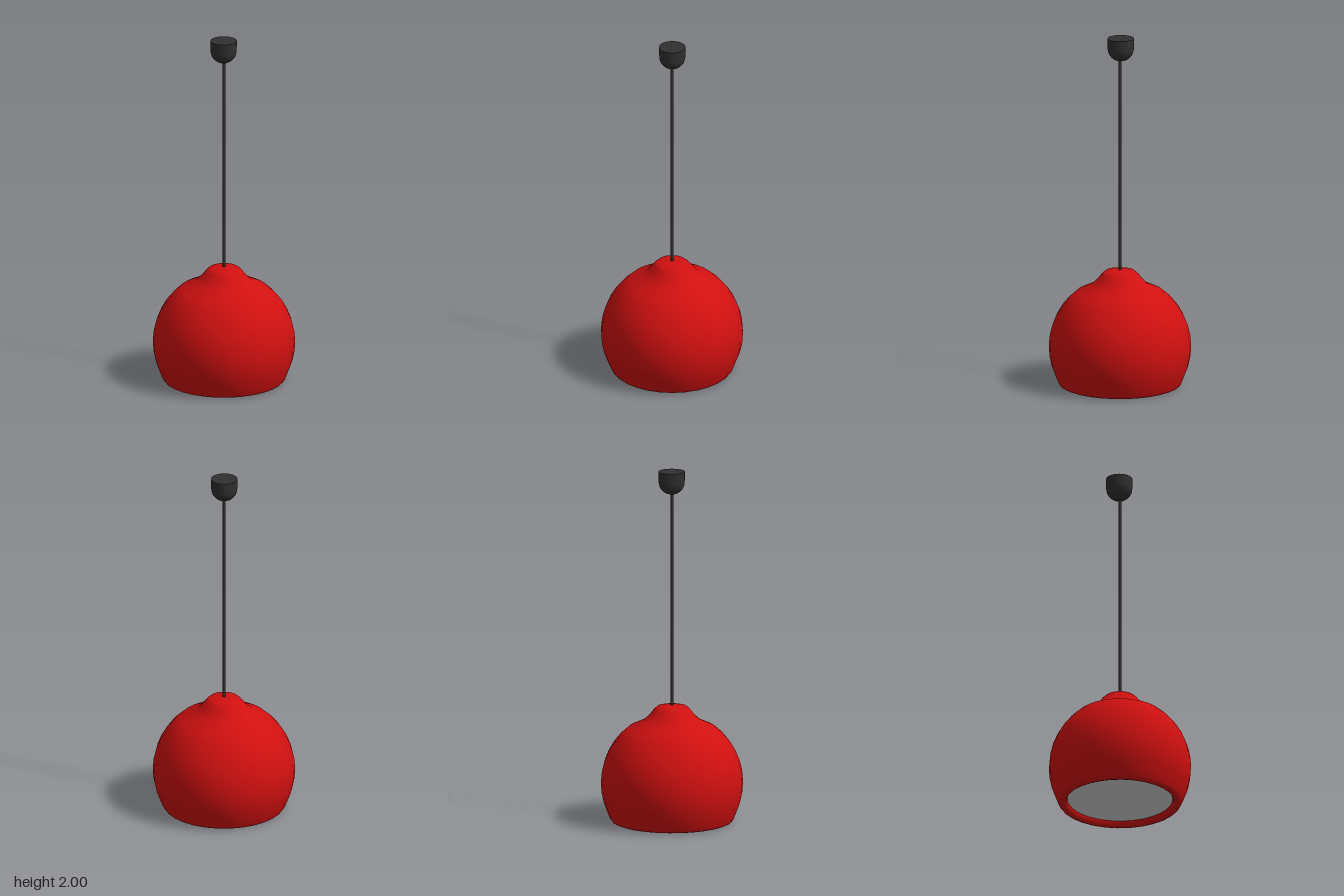
import * as THREE from 'three';

const SEGMENTS = 30;

export function createModel() {
  const red = new THREE.MeshStandardMaterial({ color: 0xd01010 });
  red.name = 'red enamel';
  const black = new THREE.MeshStandardMaterial({ color: 0x303030 });
  black.name = 'black plastic';
  const white = new THREE.MeshStandardMaterial({ color: 0xd8d8d8 });
  white.name = 'diffuser white';

  const model = new THREE.Group();
  model.name = 'pendantLamp';

  const add = (name, geometry, material, parent = model) => {
    const mesh = new THREE.Mesh(geometry, material);
    mesh.name = name;
    parent.add(mesh);
    return mesh;
  };
  const lathe = (points) =>
    new THREE.LatheGeometry(points.map(([r, y]) => new THREE.Vector2(r, y)), SEGMENTS);

  // Shade: inner lip, rounded rim, spherical body, then the flared neck
  const profile = [[0.295, 0.05], [0.297, 0.02], [0.308, 0.004], [0.325, 0.0], [0.338, 0.005], [0.347, 0.018]];
  const centerY = 0.22, radius = 0.398;
  for (let deg = -25; deg <= 61; deg += 8.6) {
    const a = THREE.MathUtils.degToRad(deg);
    profile.push([radius * Math.cos(a), centerY + radius * Math.sin(a)]);
  }
  profile.push([0.16, 0.574], [0.125, 0.608], [0.1, 0.64], [0.083, 0.655], [0.045, 0.661], [0, 0.664]);
  add('shade', lathe(profile), red);

  // Diffuser disc set just inside the rim, facing down
  const diffuser = add('diffuser', new THREE.CircleGeometry(0.296, SEGMENTS), white);
  diffuser.geometry.rotateX(Math.PI / 2);
  diffuser.position.y = 0.03;

  // Cord from the neck to the ceiling cup
  const cord = add('cord', new THREE.CylinderGeometry(0.008, 0.008, 1.23, 12), black);
  cord.position.y = 1.265;

  // Ceiling cup: rounded bowl, straight wall and a flat top
  const cup = new THREE.Group();
  cup.name = 'ceilingCup';
  cup.position.set(-0.001, 0, -0.004);
  model.add(cup);
  const bowl = [];
  for (let i = 0; i <= 8; i++) {
    const a = (i / 8) * Math.PI / 2;
    bowl.push([0.073 * Math.sin(a), 1.94 - 0.07 * Math.cos(a)]);
  }
  bowl.push([0.074, 2]);
  add('cupBody', lathe(bowl), black, cup);
  const cupTop = add('cupTop', new THREE.CircleGeometry(0.074, SEGMENTS), black, cup);
  cupTop.geometry.rotateX(-Math.PI / 2);
  cupTop.position.y = 2;

  return model;
}
